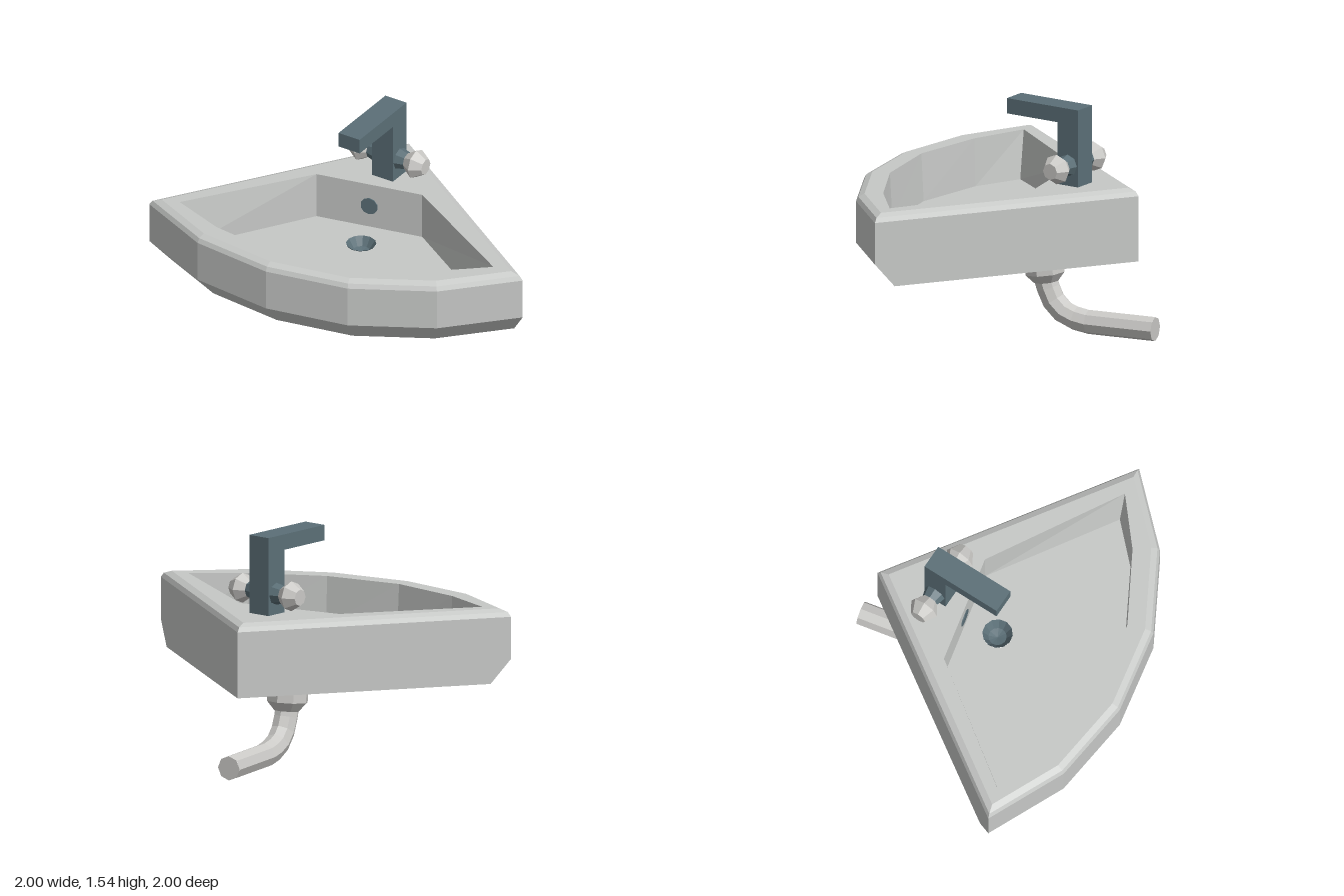
import * as THREE from 'three';

const mat = (name, color) => new THREE.MeshStandardMaterial({ name, color, flatShading: true });

// Outlines are [x, z] points, running from the back left corner round the curved front
const OUTER = [[-1, -0.855], [-0.905, -0.28], [-0.64, 0.23], [-0.235, 0.64], [0.285, 0.905], [0.855, 1], [0.855, -0.855]];
const BASIN_TOP = [[-0.84, -0.725], [-0.745, -0.34], [-0.515, 0.125], [-0.13, 0.5], [0.34, 0.735], [0.715, 0.84], [0.65, -0.18], [0.12, -0.695]];
const BASIN_FLOOR = [[-0.79, -0.68], [-0.73, -0.34], [-0.5, 0.115], [-0.125, 0.485], [0.34, 0.72], [0.67, 0.785], [0.65, -0.18], [0.12, -0.695]];
const DRAIN = { x: 0.25, z: -0.26, r: 0.1 };

// Move every edge of an outline inwards by d
function inset(pts, d) {
  const n = pts.length;
  const normal = (a, b) => {
    const ex = b[0] - a[0], ez = b[1] - a[1], l = Math.hypot(ex, ez);
    return [ez / l, -ex / l];
  };
  return pts.map((p, i) => {
    const a = normal(pts[(i + n - 1) % n], p), b = normal(p, pts[(i + 1) % n]);
    const k = d / (1 + a[0] * b[0] + a[1] * b[1]);
    return [p[0] + (a[0] + b[0]) * k, p[1] + (a[1] + b[1]) * k];
  });
}

// Skin between successive outlines, each given as [outline, height]
function loft(rings) {
  const pos = [];
  for (let r = 0; r + 1 < rings.length; r++) {
    const [lo, y0] = rings[r], [hi, y1] = rings[r + 1], n = lo.length;
    for (let i = 0; i < n; i++) {
      const j = (i + 1) % n;
      const a = [lo[i][0], y0, lo[i][1]], b = [lo[j][0], y0, lo[j][1]];
      const c = [hi[j][0], y1, hi[j][1]], d = [hi[i][0], y1, hi[i][1]];
      pos.push(...a, ...b, ...c, ...a, ...c, ...d);
    }
  }
  const g = new THREE.BufferGeometry();
  g.setAttribute('position', new THREE.Float32BufferAttribute(pos, 3));
  g.computeVertexNormals();
  return g;
}

// Flat horizontal face, facing up or down
function plate(pts, y, hole, up = true) {
  const s = up ? -1 : 1;
  const to2 = (list) => list.map(([x, z]) => new THREE.Vector2(x, s * z));
  const shape = new THREE.Shape(to2(pts));
  if (hole) shape.holes.push(new THREE.Path(to2(hole)));
  return new THREE.ShapeGeometry(shape).rotateX(s * Math.PI / 2).translate(0, y, 0);
}

const lathe = (pts, sides) => new THREE.LatheGeometry(pts.map(([r, y]) => new THREE.Vector2(r, y)), sides);

export function createModel() {
  const model = new THREE.Group();
  model.name = 'cornerSink';
  const ceramic = mat('ceramic', 0xc6c8c6);
  const steel = mat('darkSteel', 0x5b6f77);
  const pale = mat('paleMetal', 0xcac9c6);
  const drainMat = steel.clone();
  drainMat.name = 'drainSteel';
  drainMat.side = THREE.DoubleSide;

  const add = (name, geo, material, parent = model) => {
    const m = new THREE.Mesh(geo, material);
    m.name = name;
    parent.add(m);
    return m;
  };

  // Ceramic body: undercut front, straight walls, softened rim
  const under = OUTER.map(([x, z]) => [0.855 + (x - 0.855) * 0.925, -0.855 + (z + 0.855) * 0.925]);
  const rim = inset(OUTER, 0.055);
  add('outerWalls', loft([[under, 0.53], [OUTER, 0.69], [OUTER, 0.97], [inset(OUTER, 0.015), 1.0], [rim, 1.02]]), ceramic);
  add('underside', plate(under, 0.53, null, false), ceramic);
  add('rimTop', plate(rim, 1.02, BASIN_TOP), ceramic);

  // Basin with a round drain opening
  const ring = Array.from({ length: 12 }, (_, i) => {
    const a = i * Math.PI / 6;
    return [DRAIN.x + DRAIN.r * Math.sin(a), DRAIN.z + DRAIN.r * Math.cos(a)];
  });
  add('basinWalls', loft([[BASIN_TOP, 1.02], [BASIN_FLOOR, 0.7]]), ceramic);
  add('basinFloor', plate(BASIN_FLOOR, 0.7, ring), ceramic);
  add('drain', lathe([[0, -0.07], [0.06, -0.055], [DRAIN.r, 0.003]], 12), drainMat).position.set(DRAIN.x, 0.7, DRAIN.z);

  // Overflow disc on the diagonal wall
  const overflow = add('overflow', new THREE.CylinderGeometry(0.06, 0.06, 0.008, 10).rotateX(Math.PI / 2), steel);
  overflow.position.set(0.383, 0.857, -0.436);
  overflow.rotation.y = Math.atan2(-0.697, 0.717);

  // Tap: local -x is the spout direction, local z runs through the handles
  const tap = new THREE.Group();
  tap.name = 'tap';
  tap.position.set(0.5625, 0, -0.5225);
  tap.rotation.y = 0.588;
  model.add(tap);
  add('tapPost', new THREE.BoxGeometry(0.164, 0.42, 0.164).translate(0, 1.227, 0), steel, tap);
  add('spout', new THREE.BoxGeometry(0.563, 0.103, 0.164).translate(-0.1995, 1.4885, 0), steel, tap);
  for (const side of [1, -1]) {
    const handle = new THREE.Group();
    handle.name = side > 0 ? 'frontHandle' : 'backHandle';
    handle.position.y = 1.157;
    handle.rotation.x = side * Math.PI / 2;
    tap.add(handle);
    add('handleStem', new THREE.CylinderGeometry(0.05, 0.075, 0.09, 8).translate(0, 0.122, 0), steel, handle);
    add('handleKnob', lathe([[0, 0.14], [0.055, 0.14], [0.1, 0.21], [0.055, 0.285], [0, 0.285]], 8), pale, handle);
  }

  // Waste collar, tilted towards the pipe
  const collar = add('wasteCollar', lathe([[0, -0.07], [0.085, -0.07], [0.138, -0.01], [0.142, 0.2]], 8), pale);
  collar.position.set(0.385, 0.4, -0.385);
  collar.quaternion.setFromUnitVectors(new THREE.Vector3(0, 1, 0), new THREE.Vector3(-0.08, 1, 0.08).normalize());

  // Waste pipe, bending back through the corner
  const path = new THREE.CurvePath();
  const p = (d, y) => new THREE.Vector3(d, y, -d);
  path.add(new THREE.CatmullRomCurve3([p(0.38, 0.38), p(0.425, 0.21), p(0.495, 0.12), p(0.6, 0.085)]));
  path.add(new THREE.LineCurve3(p(0.6, 0.085), p(0.938, 0.085)));
  add('wastePipe', new THREE.TubeGeometry(path, 10, 0.081, 8), pale);
  add('pipeEnd', new THREE.CircleGeometry(0.081, 8).rotateY(Math.PI * 0.75).translate(0.938, 0.085, -0.938), pale);

  return model;
}
